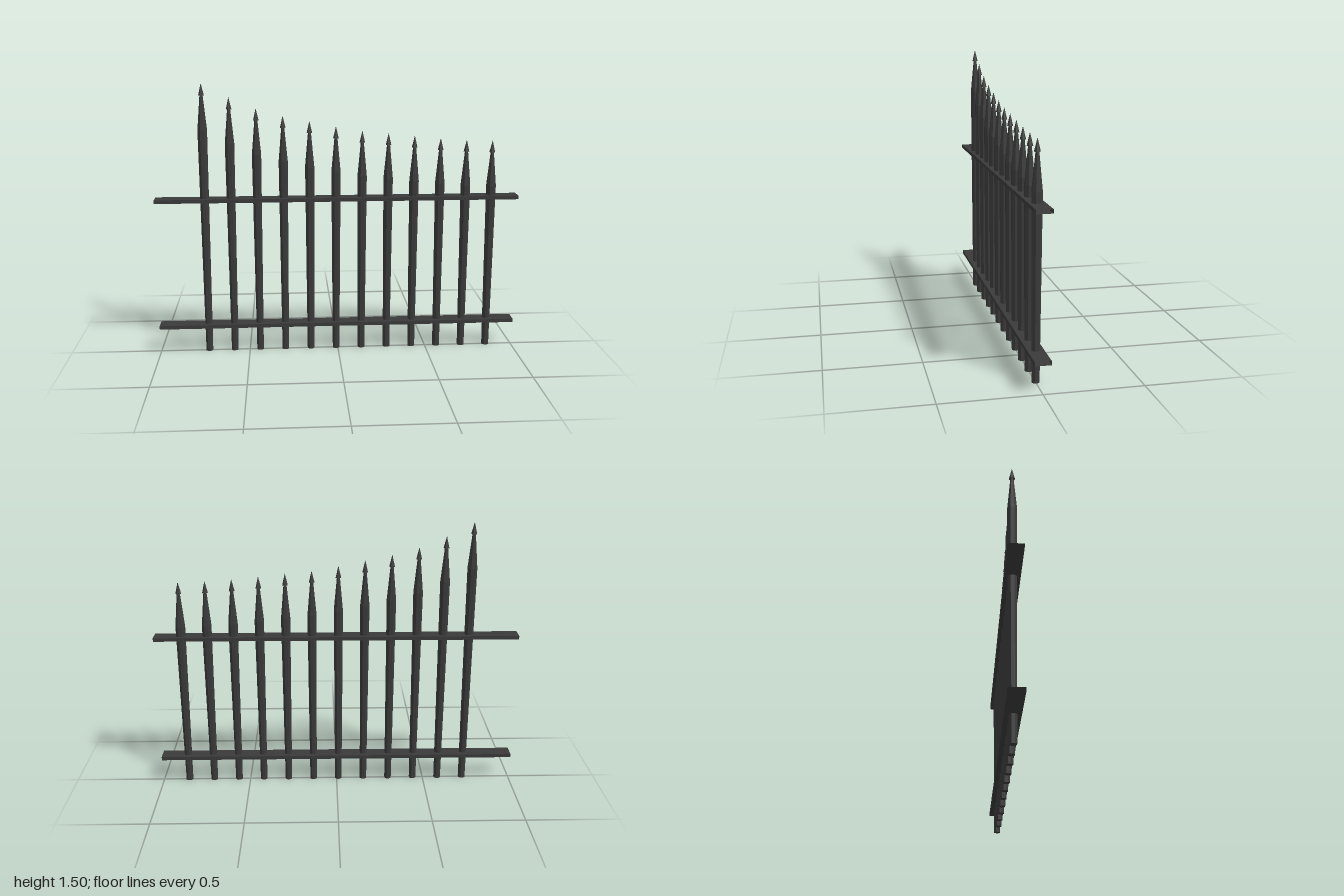
import * as THREE from 'three';

const iron = new THREE.MeshStandardMaterial({ color: 0x3a3a3a, flatShading: true, side: THREE.DoubleSide });
iron.name = 'darkIron';

// Picket: slightly widening shaft, tapered shoulder, small arrow tip
function makePicket(height) {
  const profile = [
    [0, 0], [0.02, 0], [0.027, height - 0.25],
    [0.009, height - 0.065], [0.016, height - 0.065], [0, height],
  ].map(([r, y]) => new THREE.Vector2(r, y));
  return new THREE.Mesh(new THREE.LatheGeometry(profile, 8, Math.PI / 8), iron);
}

// Flat rail, open at both ends
function makeRail(y) {
  const geometry = new THREE.BoxGeometry(2, 0.02, 0.082);
  // the first 12 indices are the two end faces
  geometry.setIndex(Array.from(geometry.index.array).slice(12));
  geometry.clearGroups();
  const rail = new THREE.Mesh(geometry, iron);
  rail.position.y = y;
  return rail;
}

export function createModel() {
  const fence = new THREE.Group();
  fence.name = 'fence';

  // Pickets sweep down from left to right
  const heights = [1.505, 1.43, 1.37, 1.33, 1.3, 1.27, 1.245, 1.23, 1.215, 1.2, 1.19, 1.185];
  heights.forEach((height, i) => {
    const picket = makePicket(height);
    picket.name = `picket${i + 1}`;
    picket.position.x = -0.729 + i * 0.1438;
    fence.add(picket);
  });

  const lowerRail = makeRail(0.152);
  lowerRail.name = 'lowerRail';
  const upperRail = makeRail(0.871);
  upperRail.name = 'upperRail';
  fence.add(lowerRail, upperRail);
  return fence;
}
